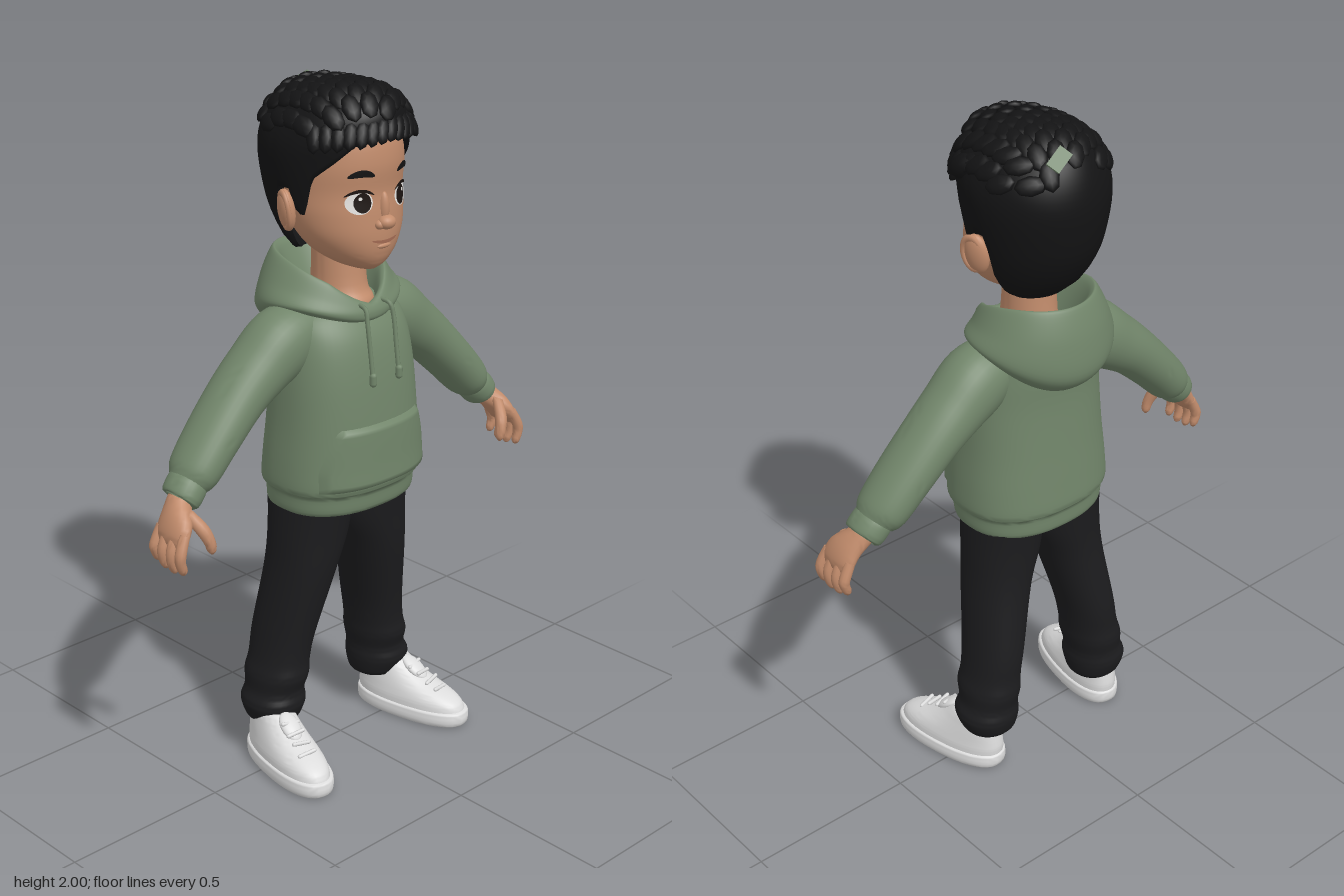
import * as THREE from 'three';
import { toCreasedNormals } from 'three/addons/utils/BufferGeometryUtils.js';

const mat = (name, color) => Object.assign(new THREE.MeshStandardMaterial({ color }), { name });
const V = (x, y, z) => new THREE.Vector3(x, y, z);
const spow = (v, p) => Math.sign(v) * Math.abs(v) ** p;

// Catmull-Rom through table rows, t = row index
function at(rows, t) {
  const n = rows.length - 1, i = Math.min(Math.floor(t), n - 1), f = t - i;
  const a = rows[Math.max(i - 1, 0)], b = rows[i], c = rows[i + 1], d = rows[Math.min(i + 2, n)];
  return b.map((v, k) => v + 0.5 * f * (c[k] - a[k] + f * (2 * a[k] - 5 * v + 4 * c[k] - d[k] + f * (3 * (v - c[k]) + d[k] - a[k]))));
}
function rowAtY(rows, y) {
  let lo = 0, hi = rows.length - 1;
  for (let i = 0; i < 30; i++) { const m = (lo + hi) / 2; if (at(rows, m)[0] < y) lo = m; else hi = m; }
  return at(rows, lo);
}

// Closed rings joined into a skin; fn(i, angle) returns a point
function rings(count, segs, fn) {
  const pos = [], idx = [];
  for (let i = 0; i < count; i++)
    for (let j = 0; j < segs; j++) {
      pos.push(...fn(i, j / segs * Math.PI * 2));
      if (i === count - 1) continue;
      const a = i * segs + j, b = i * segs + (j + 1) % segs;
      idx.push(a, b, a + segs, b, b + segs, a + segs);
    }
  const g = new THREE.BufferGeometry();
  g.setAttribute('position', new THREE.Float32BufferAttribute(pos, 3));
  g.setIndex(idx);
  g.computeVertexNormals();
  return g;
}

// Point on a horizontal section [y, centre x, half width, front z, back z]
function onRing([y, cx, rx, zf, zb], a, p = 1, k = 1) {
  return [cx + Math.max(rx, 0) * k * spow(Math.sin(a), p), y, (zf + zb) / 2 + (zf - zb) / 2 * k * spow(Math.cos(a), p)];
}
// Upright body from horizontal sections, capped at both ends
function loft(rows, p = 1, segs = 40, sub = 5) {
  const n = (rows.length - 1) * sub;
  return toCreasedNormals(rings(n + 3, segs, (i, a) =>
    onRing(at(rows, Math.min(Math.max(i - 1, 0), n) / sub), a, p, i === 0 || i === n + 2 ? 0 : 1)), 0.9);
}
// Limb along a path in x and y: rows of [x, y, z, thickness, z radius]
function limb(rows, segs = 24, sub = 5) {
  const n = (rows.length - 1) * sub, end = rows.length - 1;
  return toCreasedNormals(rings(n + 3, segs, (i, a) => {
    const t = Math.min(Math.max(i - 1, 0), n) / sub, k = i === 0 || i === n + 2 ? 0 : 1;
    const [x, y, z, rn, rz] = at(rows, t), q = at(rows, Math.min(t + 0.05, end)), o = at(rows, Math.max(t - 0.05, 0));
    const d = V(q[0] - o[0], q[1] - o[1], 0).normalize(), c = Math.cos(a) * rn * k;
    return [x - d.y * c, y + d.x * c, z + Math.sin(a) * rz * k];
  }), 0.9);
}
function mirrored(geo) {
  const g = (geo.index ? geo.toNonIndexed() : geo.clone()).scale(-1, 1, 1);
  for (const { array, itemSize: s } of Object.values(g.attributes))
    for (let i = 0; i < array.length; i += 3 * s)
      for (let k = 0; k < s; k++) [array[i + k], array[i + 2 * s + k]] = [array[i + 2 * s + k], array[i + k]];
  return g;
}
// Move the vertices of a flat geometry by a rule
function remap(geo, fn) {
  const p = geo.attributes.position;
  for (let i = 0; i < p.count; i++) p.setXYZ(i, ...fn(p.getX(i), p.getY(i)));
  geo.computeVertexNormals();
  return geo;
}
function frontZ(rows, x, y, p = 1) {
  const [, , rx, zf, zb] = rowAtY(rows, y), s = Math.min(Math.abs(x / rx), 1) ** (1 / p);
  return (zf + zb) / 2 + (zf - zb) / 2 * Math.sqrt(1 - s * s) ** p;
}
const ball = (x, y, z, rx, ry, rz) => new THREE.SphereGeometry(1, 20, 14).scale(rx, ry, rz).translate(x, y, z);

const HEAD = [[1.497, 0, 0.03, 0.13, 0.03], [1.515, 0, 0.07, 0.152, -0.02], [1.55, 0, 0.115, 0.168, -0.08], [1.6, 0, 0.15, 0.174, -0.12],
  [1.66, 0, 0.168, 0.172, -0.16], [1.72, 0, 0.172, 0.168, -0.18], [1.8, 0, 0.172, 0.176, -0.19], [1.88, 0, 0.15, 0.16, -0.17], [1.93, 0, 0.08, 0.1, -0.1]];
const HAIR = [[1.52, 0, 0.1, 0.06, -0.11], [1.56, 0, 0.14, 0.12, -0.155], [1.61, 0, 0.163, 0.15, -0.19], [1.68, 0, 0.181, 0.168, -0.222],
  [1.79, 0, 0.198, 0.178, -0.24], [1.86, 0, 0.196, 0.188, -0.235], [1.92, 0, 0.168, 0.188, -0.213], [1.955, 0, 0.128, 0.165, -0.182],
  [1.977, 0, 0.075, 0.11, -0.125], [1.985, 0, 0.002, 0, -0.01]];
// Hairline height by angle from the front
const HAIRLINE = [[0, 1.87], [30, 1.855], [44, 1.81], [62, 1.76], [67, 1.7], [70, 1.66], [78, 1.66], [82, 1.73], [96, 1.73], [100, 1.62], [110, 1.55], [125, 1.53], [180, 1.522]];
const TORSO = [[0.8, 0, 0.19, 0.14, -0.15], [0.808, 0, 0.22, 0.166, -0.17], [0.86, 0, 0.225, 0.174, -0.174], [0.878, 0, 0.238, 0.188, -0.185],
  [0.95, 0, 0.235, 0.186, -0.18], [1.06, 0, 0.225, 0.182, -0.17], [1.2, 0, 0.216, 0.168, -0.16], [1.3, 0, 0.205, 0.145, -0.16],
  [1.36, 0, 0.185, 0.11, -0.155], [1.4, 0, 0.13, 0.07, -0.13]];
const LEG = [[0.12, 0.212, 0.06, 0, -0.125], [0.13, 0.212, 0.078, 0.012, -0.145], [0.18, 0.215, 0.09, 0.034, -0.16], [0.22, 0.208, 0.081, 0.027, -0.155],
  [0.27, 0.202, 0.083, 0.042, -0.162], [0.32, 0.193, 0.078, 0.04, -0.156], [0.41, 0.178, 0.079, 0.052, -0.155], [0.6, 0.14, 0.092, 0.09, -0.134],
  [0.72, 0.115, 0.108, 0.105, -0.134], [0.85, 0.105, 0.11, 0.12, -0.145]];

function hairlineY(a) {
  const d = Math.abs(a > Math.PI ? a - Math.PI * 2 : a) * 180 / Math.PI;
  const i = Math.max(1, HAIRLINE.findIndex(h => h[0] >= d - 1e-6)), [p, q] = [HAIRLINE[i - 1], HAIRLINE[i]];
  return p[1] + (q[1] - p[1]) * (d - p[0]) / (q[0] - p[0]);
}
// Lay a geometry on the hair at x, z, its length pointing along dir
function onHair(geo, x, y, z, dir, lift) {
  const n = V(x / 0.04, (y - 1.76) / 0.05, (z + 0.02) / 0.045).normalize();
  const f = dir.clone().addScaledVector(n, -dir.dot(n)).normalize();
  const m = new THREE.Matrix4().makeBasis(V(0, 0, 0).crossVectors(n, f), n, f);
  return geo.applyMatrix4(m.setPosition(V(x, y, z).addScaledVector(n, lift)));
}
function crownY(x, z) {
  for (let t = HAIR.length - 1; t > 3; t -= 0.05) {
    const [y, , rx, zf, zb] = at(HAIR, t);
    if (Math.hypot(x / rx, (z - (zf + zb) / 2) / ((zf - zb) / 2)) < 1) return y;
  }
  return 0;
}

export function createModel() {
  const model = new THREE.Group();
  const skin = mat('skin', 0xc28c6c), hair = mat('black hair', 0x131314), green = mat('green fabric', 0x71856a), black = mat('black trousers', 0x1c1c1e);
  const white = mat('white shoe', 0xdcdcdc), eyeWhite = mat('eye white', 0xe9e7e4), dark = mat('dark iris', 0x1d1512), lip = mat('lip', 0xa66d55);
  hair.side = THREE.DoubleSide;
  const add = (name, geo, m) => { const o = new THREE.Mesh(geo, m); o.name = name; model.add(o); };
  const pair = (name, geo, m) => { add(name + 'Left', geo, m); add(name + 'Right', mirrored(geo), m); };

  // Head, neck, nose and ears
  add('head', loft(HEAD), skin);
  add('neck', loft([[1.33, 0, 0.1, 0.1, -0.12], [1.39, 0, 0.088, 0.1, -0.11], [1.44, 0, 0.075, 0.075, -0.09], [1.6, 0, 0.075, 0.06, -0.08]]), skin);
  add('noseTip', ball(0, 1.638, 0.178, 0.027, 0.02, 0.024), skin);
  add('noseBridge', ball(0, 1.675, 0.166, 0.015, 0.045, 0.017), skin);
  pair('nostril', ball(0.021, 1.633, 0.172, 0.014, 0.013, 0.015), skin);
  pair('ear', ball(0, 0, 0, 0.022, 0.06, 0.036).rotateY(0.35).rotateZ(-0.15).translate(0.186, 1.668, -0.015), skin);
  pair('earRim', new THREE.TorusGeometry(0.03, 0.007, 8, 24).scale(1, 1.6, 1).rotateY(Math.PI / 2 + 0.35).rotateZ(-0.15).translate(0.197, 1.67, -0.01), skin);

  // Face plates following the head
  const decal = (cx, cy, rx, ry, off, bend = 0) => remap(new THREE.RingGeometry(0.001, 1, 28, 4), (u, v) => {
    const x = cx + u * rx, y = cy + v * ry + bend * u * u;
    return [x, y, frontZ(HEAD, x, y) + off];
  });
  pair('eye', decal(0.076, 1.698, 0.035, 0.031, 0.003), eyeWhite);
  pair('iris', decal(0.07, 1.698, 0.023, 0.027, 0.005), dark);
  pair('eyeGlint', decal(0.077, 1.71, 0.005, 0.005, 0.007), eyeWhite);
  pair('upperLid', decal(0.076, 1.731, 0.038, 0.005, 0.006, -0.014), dark);
  pair('eyebrow', decal(0.075, 1.779, 0.034, 0.01, 0.005, -0.009), hair);
  add('mouth', decal(0, 1.584, 0.046, 0.005, 0.004, 0.007), lip);
  add('lowerLip', ball(0, 1.571, 0.167, 0.026, 0.008, 0.009), skin);

  // Hair cap with a shaped hairline
  add('hairCap', rings(26, 96, (i, a) => {
    const v = Math.max(i - 1, 0) / 24, low = hairlineY(a), y = low + (1.985 - low) * (1 - (1 - v) ** 2);
    return onRing(rowAtY(HAIR, y), a, 1, i === 0 ? 0.86 : 1);
  }), hair);
  // Overlapping locks on the crown, swept forward and across from the parting
  const lock = (r, h, l) => new THREE.SphereGeometry(1, 8, 6).scale(r, h, l);
  for (let r = 0; r < 9; r++)
    for (let c = 0; c < 9; c++) {
      const x = -0.172 + c * 0.043, z = -0.185 + r * 0.045 + (c % 2) * 0.022, y = crownY(x, z);
      if (y < 1.885) continue;
      const dir = x > 0.11 ? V(0.5, -0.3, 0.8) : V(-0.45, 0, 0.9);
      add('hairLock', onHair(lock(0.027, 0.014, 0.043), x, y, z, dir, 0.002), hair);
    }
  // Fringe locks round the front
  for (let k = -7; k <= 7; k++) {
    const a = k * 0.155, [x, y, z] = onRing(rowAtY(HAIR, 1.895 - Math.abs(k) * 0.003), a);
    add('fringeLock', onHair(lock(0.021, 0.015, 0.042), x, y, z, V(k > 3 ? 0.4 : -0.5, -0.8, 0.4), 0.002), hair);
  }
  add('sideTuft', onHair(lock(0.035, 0.03, 0.06), 0.165, 1.885, 0.06, V(0.3, -0.3, 1), 0.002), hair);
  add('crownPatch', onHair(new THREE.BoxGeometry(0.065, 0.006, 0.04), 0.055, 1.945, -0.18, V(0.2, 0, 1), 0.02), green);

  // Hoodie body, sleeves and cuffs
  add('hoodieBody', loft(TORSO, 0.85, 56), green);
  pair('sleeve', limb([[0.1, 1.34, -0.02, 0.07, 0.08], [0.2, 1.3, -0.022, 0.1, 0.096], [0.29, 1.24, -0.025, 0.088, 0.093], [0.367, 1.18, -0.025, 0.077, 0.09],
    [0.46, 1.09, -0.02, 0.07, 0.087], [0.53, 1.015, -0.015, 0.064, 0.08], [0.556, 0.988, -0.012, 0.052, 0.062]], 32), green);
  pair('cuff', limb([[0.545, 1, -0.01, 0.046, 0.056], [0.562, 0.983, -0.008, 0.053, 0.062], [0.588, 0.954, -0.005, 0.05, 0.06], [0.593, 0.949, -0.005, 0.036, 0.044]]), green);

  // Hood resting on the shoulders: rows of [half width, z front/side/back, y front/side/back, dip at the throat]
  const HOOD = [[0.17, 0.1, -0.04, -0.155, 1.34, 1.37, 1.265, 0], [0.197, 0.132, -0.045, -0.195, 1.352, 1.38, 1.27, 0], [0.215, 0.137, -0.05, -0.243, 1.372, 1.405, 1.325, 0],
    [0.19, 0.13, -0.055, -0.236, 1.4, 1.45, 1.43, 0.01], [0.158, 0.12, -0.05, -0.208, 1.43, 1.503, 1.515, 0.035], [0.143, 0.108, -0.045, -0.192, 1.432, 1.505, 1.517, 0.04],
    [0.122, 0.102, -0.04, -0.17, 1.415, 1.47, 1.48, 0.04], [0.09, 0.09, -0.02, -0.12, 1.36, 1.38, 1.38, 0.02]];
  const mix = (f, s, b, c) => s + (f - b) / 2 * c + ((f + b) / 2 - s) * c * c;
  add('hood', rings(43, 64, (i, a) => {
    const [rx, zf, zs, zb, yf, ys, yb, dip] = at(HOOD, i / 6), c = Math.cos(a), d = Math.min(a, Math.PI * 2 - a);
    return [rx * Math.sin(a), mix(yf, ys, yb, c) - dip * Math.max(0, 1 - d / 0.8), mix(zf, zs, zb, c)];
  }), green);

  // Front pouch with curved hand openings
  add('pouch', remap(new THREE.PlaneGeometry(2, 1, 32, 16), (u, v0) => {
    const v = v0 + 0.5, edge = Math.abs(u) > 0.99 || v < 0.01 || v > 0.99;
    const x = u * (0.202 - 0.052 * Math.max(0, (v - 0.3) / 0.7) ** 1.3), y = 0.88 + v * 0.19;
    return [x, y, frontZ(TORSO, x, y, 0.85) + (edge ? -0.006 : 0.013)];
  }), green);

  // Drawstrings
  const cord = new THREE.CatmullRomCurve3([V(0.04, 1.4, 0.11), V(0.046, 1.392, 0.148), V(0.05, 1.36, 0.158), V(0.05, 1.28, 0.17), V(0.05, 1.2, 0.181)]);
  pair('drawstring', new THREE.TubeGeometry(cord, 24, 0.0065, 8), green);
  pair('drawstringEnd', new THREE.CapsuleGeometry(0.0105, 0.02, 4, 10).translate(0.05, 1.2, 0.182), green);

  // Hands
  pair('palm', limb([[0.568, 0.98, -0.005, 0.03, 0.035], [0.592, 0.952, 0, 0.033, 0.04], [0.625, 0.915, 0.025, 0.031, 0.057],
    [0.648, 0.878, 0.033, 0.024, 0.062], [0.658, 0.852, 0.035, 0.012, 0.052]]), skin);
  [0.088, 0.052, 0.016, -0.018].forEach((z, i) => {
    const e = [0.006, 0, 0.003, 0.016][i];
    pair('finger', limb([[0.645, 0.89, z * 0.9, 0.015, 0.016], [0.667, 0.845, z, 0.016, 0.0165], [0.669, 0.812 + e, z, 0.0145, 0.0155],
      [0.66, 0.786 + e, z, 0.012, 0.0125], [0.655, 0.777 + e, z, 0.004, 0.004]], 12, 3), skin);
  });
  pair('thumb', limb([[0.612, 0.935, 0.05, 0.016, 0.02], [0.592, 0.895, 0.085, 0.019, 0.02], [0.578, 0.858, 0.1, 0.016, 0.016],
    [0.572, 0.832, 0.102, 0.013, 0.013], [0.571, 0.82, 0.102, 0.004, 0.004]], 12, 3), skin);

  // Trousers
  pair('trouserLeg', loft(LEG, 0.92, 36), black);

  // Shoes, built straight and then splayed outward
  const shoe = (name, geo) => pair(name, geo.rotateY(0.2).translate(0.257, 0, 0.052), white);
  shoe('sole', loft([[0, 0, 0.07, 0.178, -0.175], [0.008, 0, 0.08, 0.192, -0.188], [0.04, 0, 0.081, 0.193, -0.19], [0.047, 0, 0.074, 0.184, -0.184]], 0.85, 40, 3));
  shoe('shoeUpper', loft([[0.04, 0, 0.074, 0.184, -0.184], [0.065, 0, 0.073, 0.172, -0.186], [0.085, 0, 0.069, 0.14, -0.184], [0.11, 0, 0.063, 0.075, -0.18],
    [0.135, 0, 0.057, 0.025, -0.176], [0.16, 0, 0.051, -0.012, -0.172], [0.17, 0, 0.042, -0.025, -0.16]], 0.88));
  shoe('tongue', ball(0, 0, 0, 0.03, 0.015, 0.05).rotateX(0.6).translate(0, 0.145, 0.008));
  for (let i = 0; i < 4; i++)
    shoe('lace', new THREE.CapsuleGeometry(0.006, 0.05, 4, 8).rotateZ(Math.PI / 2 + (i % 2 ? 0.12 : -0.12)).translate(0, 0.102 + i * 0.018, 0.1 - i * 0.031));

  return model;
}
